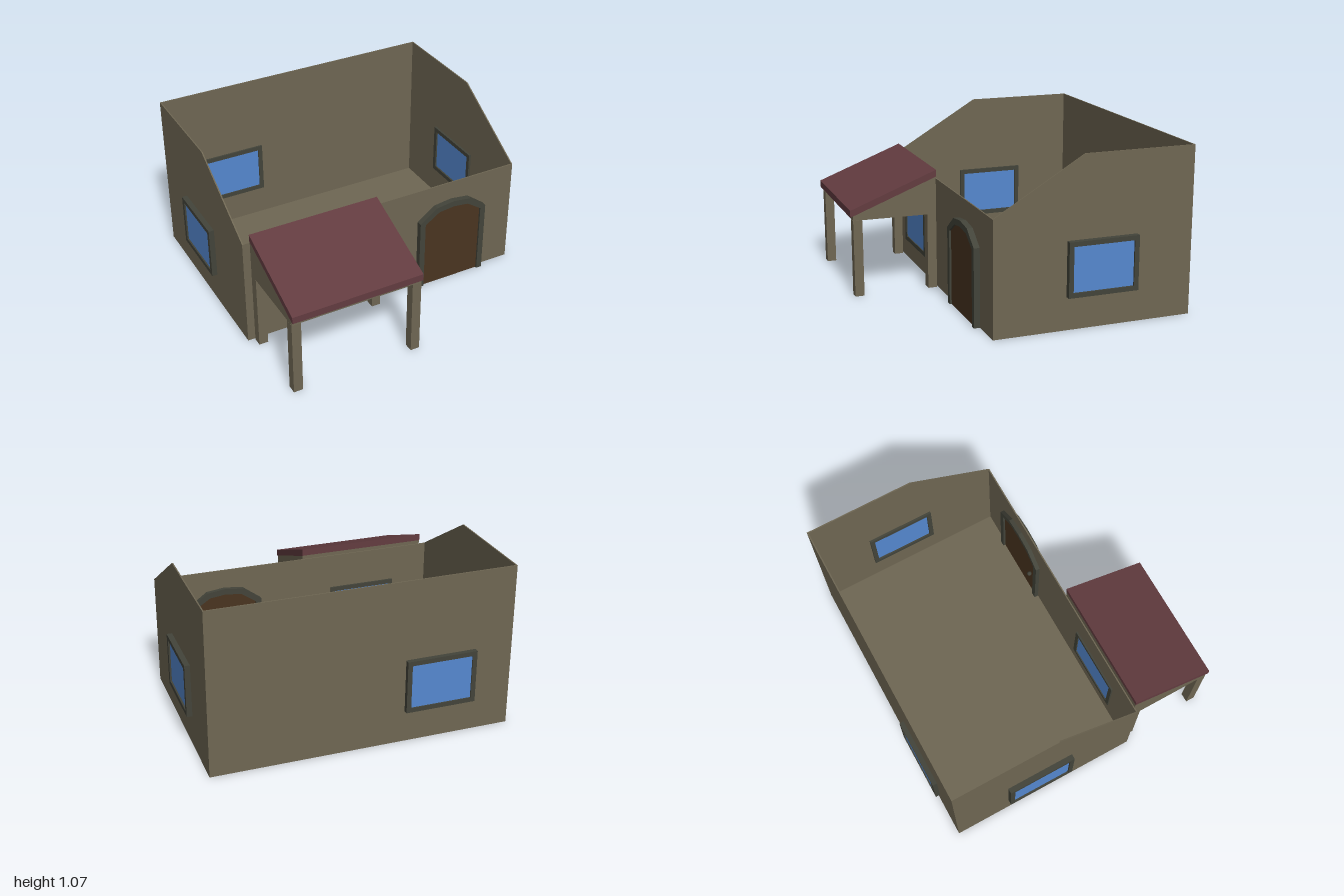
import * as THREE from 'three';

const mat = (color) => new THREE.MeshStandardMaterial({ color, flatShading: true });

export function createModel() {
  const model = new THREE.Group();
  const wall = mat(0x6f6753), frame = mat(0x43443a), glass = mat(0x5588d0);
  const wood = mat(0x4a3420), tile = mat(0x633c40);

  const add = (name, geometry, material, parent = model) => {
    const mesh = new THREE.Mesh(geometry, material);
    mesh.name = name;
    parent.add(mesh);
    return mesh;
  };
  // Box given by its limits on each axis
  const box = (name, [x0, x1], [y0, y1], [z0, z1], material, parent) =>
    add(name, new THREE.BoxGeometry(x1 - x0, y1 - y0, z1 - z0)
      .translate((x0 + x1) / 2, (y0 + y1) / 2, (z0 + z1) / 2), material, parent);
  const outline = (points) => new THREE.Shape(points.map(([a, b]) => new THREE.Vector2(a, b)));
  const extrude = (shape, depth) => new THREE.ExtrudeGeometry(shape, { depth, bevelEnabled: false });
  // Side profile of [z, y] points, stretched from x0 to x1
  const profile = (name, points, x0, x1, material, parent) =>
    add(name, extrude(outline(points), x1 - x0).rotateY(-Math.PI / 2).translate(x1, 0, 0), material, parent);

  // Open-topped house shell
  const W = 0.965, T = 0.008, BACK = -0.92, FRONT = 0.37;
  box('floor', [-W, W], [0, T], [BACK, FRONT], wall);
  box('frontWall', [-W + T, W - T], [T, 0.73], [FRONT - T, FRONT], wall);
  box('backWall', [-W + T, W - T], [T, 1.07], [BACK, BACK + T], wall);
  const side = [[FRONT, T], [FRONT, 0.73], [-0.2, 1.07], [BACK, 1.07], [BACK, T]];
  profile('rightWall', side, -W, -W + T, wall);
  profile('leftWall', side, W - T, W, wall);

  // Windows: a frame set through the wall with a recessed pane
  const addWindow = (name, x, y, z, turn, depth) => {
    const group = new THREE.Group();
    group.name = name;
    const w = 0.228, h = 0.173, b = 0.03;
    const rect = (a, c) => [[-a, -c], [a, -c], [a, c], [-a, c]];
    const shape = outline(rect(w, h));
    shape.holes.push(outline(rect(w - b, h - b)));
    add('windowFrame', extrude(shape, depth).translate(0, 0, -depth / 2), frame, group);
    add('windowPane', new THREE.BoxGeometry(2 * (w - b), 2 * (h - b), 0.036), glass, group);
    group.position.set(x, y, z);
    group.rotation.y = turn;
    model.add(group);
  };
  addWindow('frontWindow', -0.484, 0.323, 0.376, 0, 0.05);
  addWindow('backWindow', -0.492, 0.382, -0.925, 0, 0.05);
  addWindow('rightWindow', -0.972, 0.382, -0.319, Math.PI / 2, 0.056);
  addWindow('leftWindow', 0.971, 0.382, -0.323, Math.PI / 2, 0.058);

  // Arched door
  const door = new THREE.Group();
  door.name = 'door';
  model.add(door);
  const outer = [[-0.247, 0], [-0.247, 0.5], [-0.125, 0.59], [0, 0.606], [0.125, 0.59], [0.247, 0.5], [0.247, 0]];
  const inner = [[-0.209, 0], [-0.209, 0.485], [-0.108, 0.553], [0, 0.566], [0.108, 0.553], [0.209, 0.485], [0.209, 0]];
  add('doorFrame', extrude(outline([...outer, ...inner.slice().reverse()]), 0.074)
    .translate(0.498, 0, 0.334), frame, door);
  add('doorPanel', extrude(outline(inner), 0.046).translate(0.498, 0, 0.349), wood, door);
  add('doorKnob', new THREE.SphereGeometry(0.016, 10, 8).translate(0.335, 0.27, 0.334), frame, door);

  // Porch: four posts, a wedge-shaped top and a sloping roof slab
  const porch = new THREE.Group();
  porch.name = 'porch';
  model.add(porch);
  const X0 = -0.92, X1 = -0.06, P = 0.06;
  for (const x of [X0, X1 - P]) {
    box('porchPost', [x, x + P], [0, 0.505], [0.872, 0.932], wall, porch);
    box('porchPost', [x, x + P], [0, 0.503], [0.38, 0.44], wall, porch);
  }
  profile('porchTop', [[0.932, 0.507], [0.932, 0.537], [0.38, 0.75], [0.38, 0.502]], X0, X1, wall, porch);
  profile('porchRoof', [[0.95, 0.53], [0.95, 0.575], [0.378, 0.795], [0.378, 0.75]], X0 - 0.002, X1 + 0.002, tile, porch);

  return model;
}
